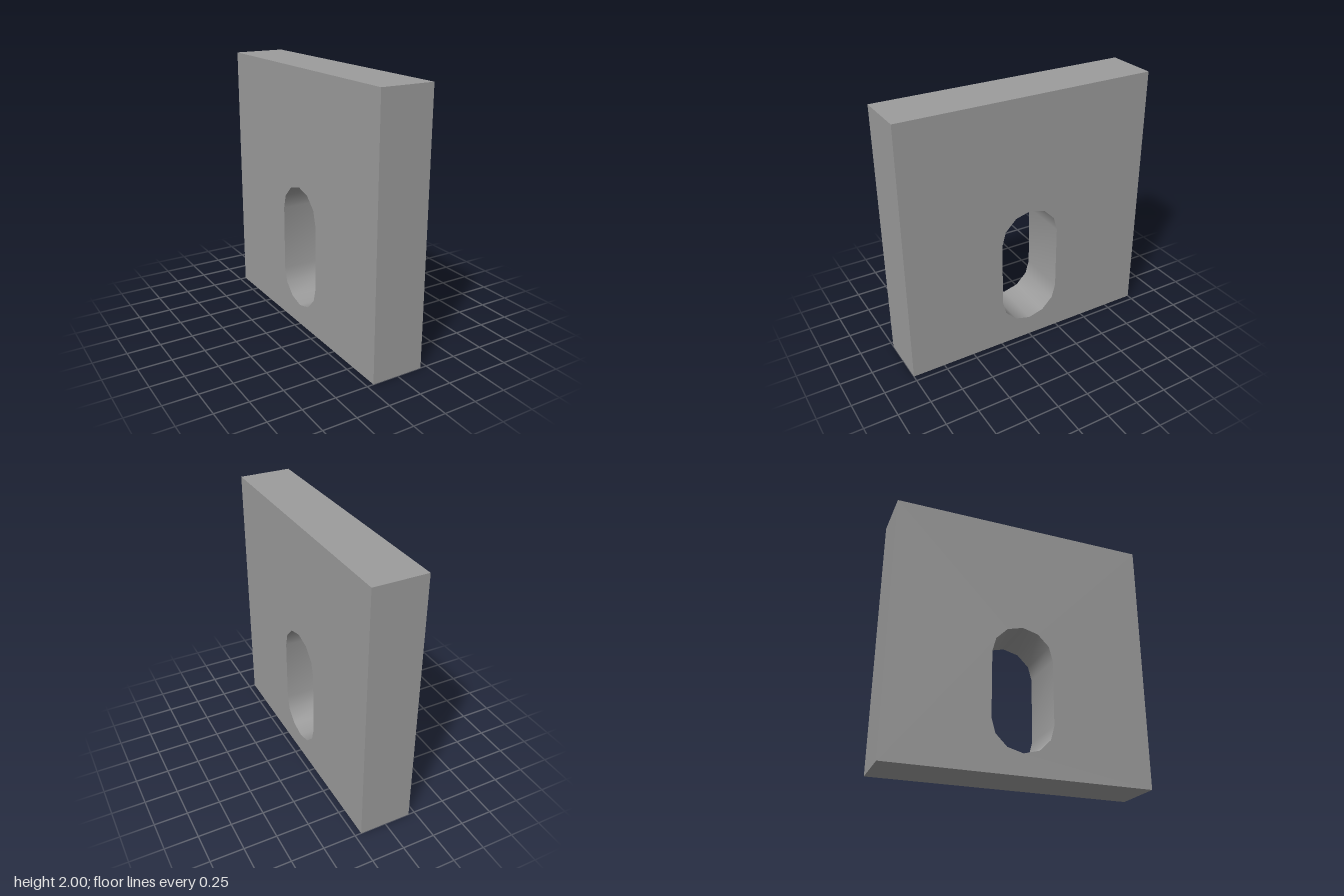
import * as THREE from 'three';
import { toCreasedNormals } from 'three/addons/utils/BufferGeometryUtils.js';

const SIZE = 2, THICKNESS = 0.4;
const SLOT_RADIUS = 0.24, SLOT_LOW = 0.4, SLOT_HIGH = 0.88, ARC_STEPS = 6;

// Half circle of points from the given angle, its ends trimmed by the slot's straight sides
function slotEnd(centreY, start) {
  const points = Array.from({ length: ARC_STEPS + 1 }, (_, i) => {
    const a = start + (Math.PI * i) / ARC_STEPS;
    return new THREE.Vector2(SLOT_RADIUS * Math.cos(a), centreY + SLOT_RADIUS * Math.sin(a));
  });
  points[0].lerp(points[1], 0.1);
  points[ARC_STEPS].lerp(points[ARC_STEPS - 1], 0.1);
  return points;
}

export function createModel() {
  const group = new THREE.Group();
  group.name = 'slottedPlate';

  // Square outline standing on the ground
  const h = SIZE / 2;
  const outline = new THREE.Shape([
    new THREE.Vector2(-h, 0),
    new THREE.Vector2(h, 0),
    new THREE.Vector2(h, SIZE),
    new THREE.Vector2(-h, SIZE),
  ]);

  // Upright slot with rounded ends
  outline.holes.push(new THREE.Path([
    ...slotEnd(SLOT_HIGH, 0),
    ...slotEnd(SLOT_LOW, Math.PI),
  ]));

  // Plate thickness runs along x; the slot wall is shaded smooth
  const geometry = new THREE.ExtrudeGeometry(outline, { depth: THICKNESS, bevelEnabled: false });
  geometry.translate(0, 0, -THICKNESS / 2);
  geometry.rotateY(Math.PI / 2);

  const plate = new THREE.Mesh(
    toCreasedNormals(geometry, Math.PI / 4),
    new THREE.MeshStandardMaterial({ color: 0x9c9c9c }),
  );
  plate.name = 'plate';
  group.add(plate);
  return group;
}
